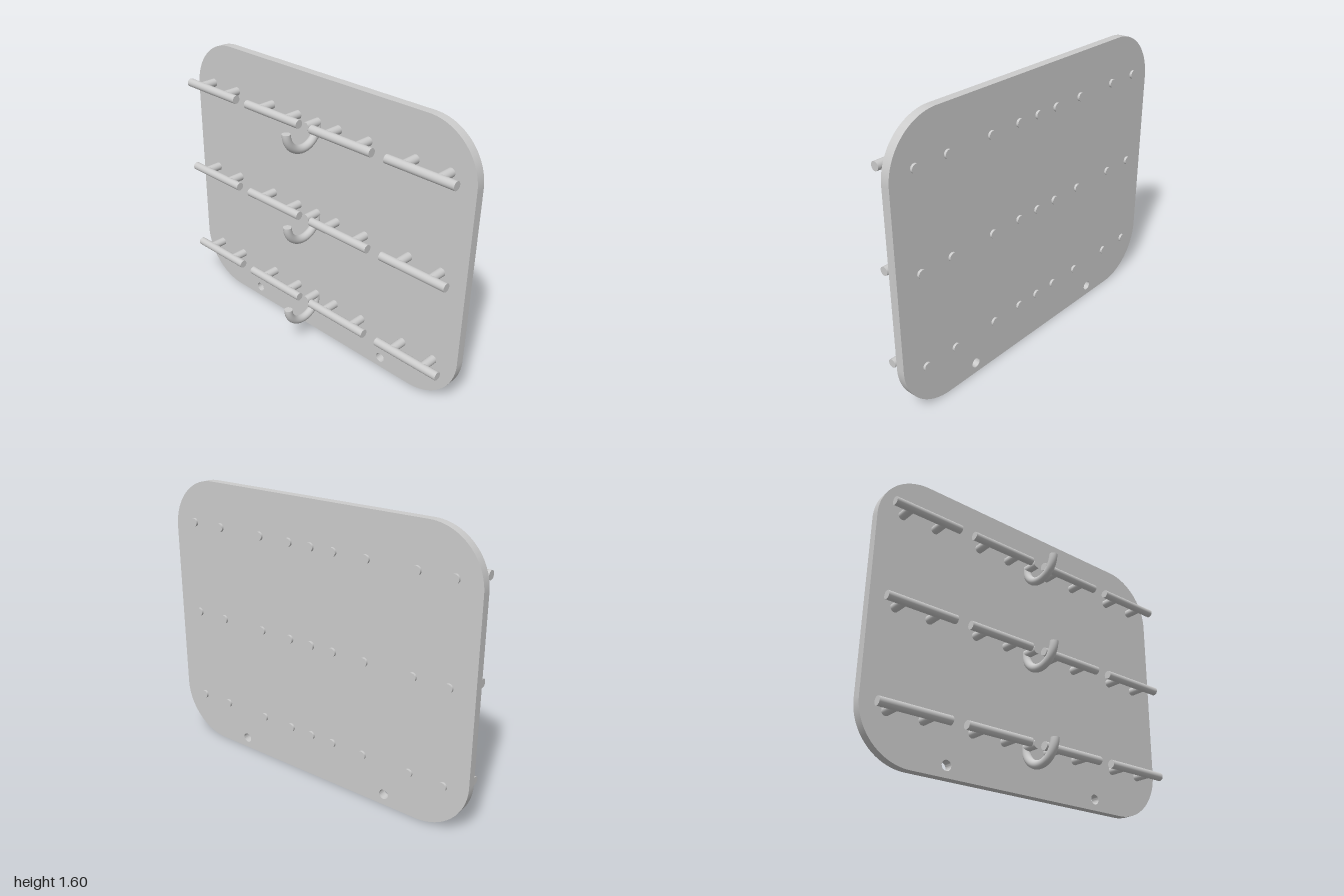
import * as THREE from 'three';
import { toCreasedNormals } from 'three/addons/utils/BufferGeometryUtils.js';

const W = 2, H = 1.595, CORNER = 0.3;
const BACK = -0.145, THICK = 0.05;
const ROD = 0.024, POST_END = -0.158;
const HOOK_R = 0.115, HOOK_Z = 0.021;

const material = new THREE.MeshStandardMaterial({ color: 0xcccccc });

function add(parent, name, geometry, x = 0, y = 0, z = 0) {
  const mesh = new THREE.Mesh(geometry, material);
  mesh.name = name;
  mesh.position.set(x, y, z);
  parent.add(mesh);
}

// Rounded board with two mounting holes near the bottom edge
function boardGeometry() {
  const s = new THREE.Shape();
  const w = W / 2, r = CORNER;
  s.moveTo(-w + r, 0);
  s.absarc(w - r, r, r, -Math.PI / 2, 0, false);
  s.absarc(w - r, H - r, r, 0, Math.PI / 2, false);
  s.absarc(-w + r, H - r, r, Math.PI / 2, Math.PI, false);
  s.absarc(-w + r, r, r, Math.PI, Math.PI * 1.5, false);
  for (const x of [-0.5, 0.5]) {
    s.holes.push(new THREE.Path().absarc(x, 0.063, 0.028, 0, Math.PI * 2, true));
  }
  const g = new THREE.ExtrudeGeometry(s, { depth: THICK, bevelEnabled: false, curveSegments: 24 });
  return toCreasedNormals(g, 0.6);
}

export function createModel() {
  const model = new THREE.Group();
  model.name = 'wallRack';
  add(model, 'board', boardGeometry(), 0, 0, BACK);

  const bar = new THREE.CylinderGeometry(ROD, ROD, 0.408, 32).rotateZ(Math.PI / 2);
  const post = new THREE.CylinderGeometry(ROD, ROD, -POST_END, 32)
    .rotateX(Math.PI / 2).translate(0, 0, POST_END / 2);
  const hook = new THREE.TorusGeometry(HOOK_R, ROD, 24, 40, Math.PI)
    .rotateZ(Math.PI).rotateY(Math.PI / 2);
  const cap = new THREE.CircleGeometry(ROD, 24).rotateX(-Math.PI / 2);

  for (const y of [0.255, 0.8, 1.345]) {
    const row = new THREE.Group();
    row.name = 'row';
    row.position.y = y;
    model.add(row);

    // Four bars, each held by two posts that pass through the board
    for (const x of [-0.7525, -0.2525, 0.2475, 0.7475]) {
      add(row, 'bar', bar, x);
      for (const side of [-1, 1]) add(row, 'barPost', post, x + side * 0.1025);
    }

    // Central hook with its own post
    add(row, 'hookPost', post, -0.0025);
    add(row, 'hook', hook, -0.0025, 0, HOOK_Z);
    for (const side of [-1, 1]) add(row, 'hookCap', cap, -0.0025, 0, HOOK_Z + side * HOOK_R);
  }
  return model;
}
